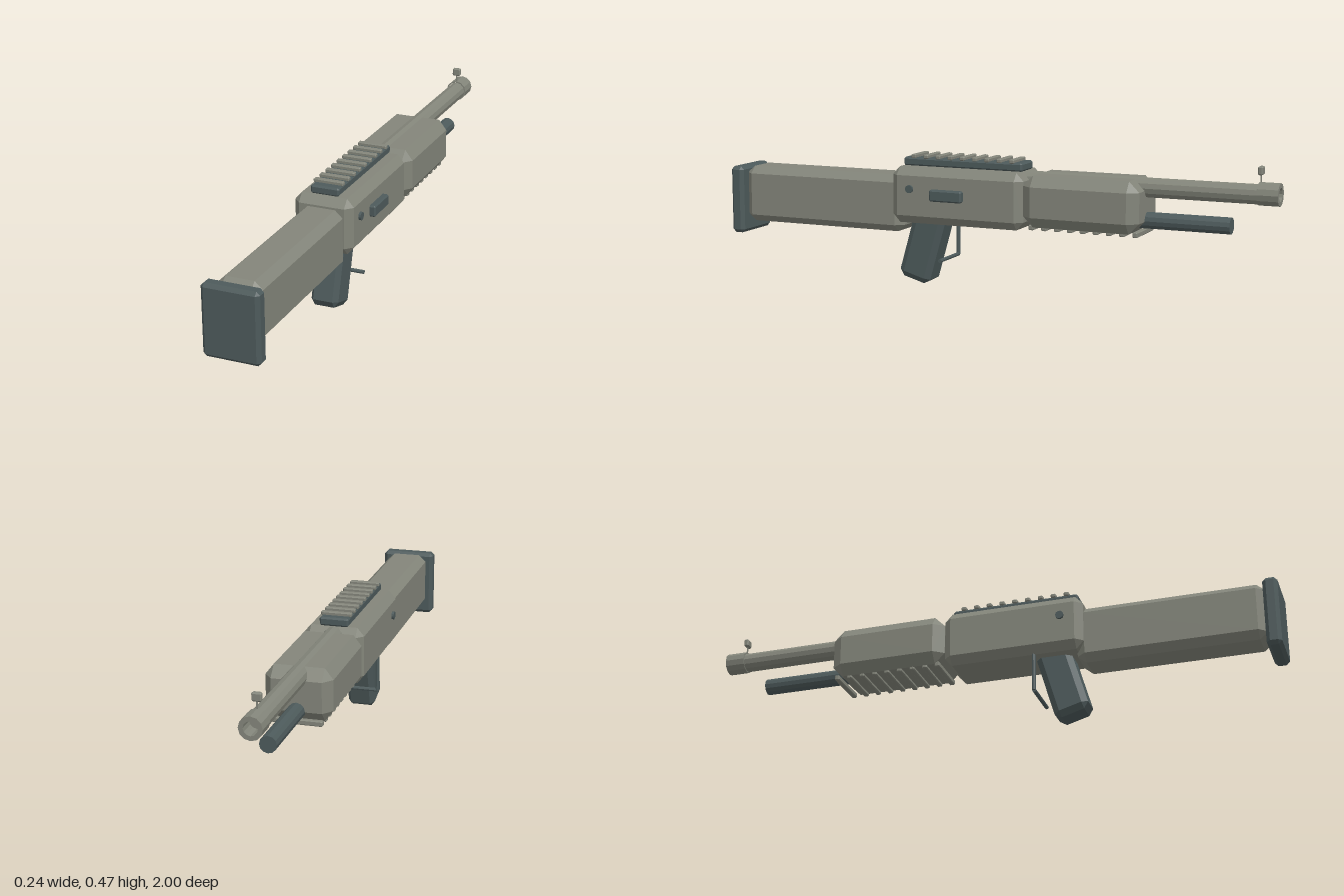
import * as THREE from 'three';
import { ConvexGeometry } from 'three/addons/geometries/ConvexGeometry.js';

const grey = new THREE.MeshStandardMaterial({ color: 0x83857a });
grey.name = 'warm grey metal';
const dark = new THREE.MeshStandardMaterial({ color: 0x4d5a5b });
dark.name = 'dark slate';

// flat-faced copy of a geometry
function faceted(geometry) {
  const g = geometry.index ? geometry.toNonIndexed() : geometry;
  g.computeVertexNormals();
  return g;
}

// box with every edge cut by (cx, cy, cz)
function chamferBox(w, h, d, cx, cy = cx, cz = cx) {
  const [x, y, z] = [w / 2, h / 2, d / 2];
  const points = [];
  for (const sx of [-1, 1]) for (const sy of [-1, 1]) for (const sz of [-1, 1]) {
    points.push(
      new THREE.Vector3(sx * x, sy * (y - cy), sz * (z - cz)),
      new THREE.Vector3(sx * (x - cx), sy * y, sz * (z - cz)),
      new THREE.Vector3(sx * (x - cx), sy * (y - cy), sz * z));
  }
  return new ConvexGeometry(points);
}

export function createModel() {
  const model = new THREE.Group();
  model.name = 'longGun';
  const body = new THREE.Group();
  body.name = 'body';
  body.position.x = -0.0065;
  model.add(body);

  function add(name, geometry, material, x, y, z) {
    const mesh = new THREE.Mesh(geometry, material);
    mesh.name = name;
    mesh.position.set(x, y, z);
    body.add(mesh);
    return mesh;
  }

  // rod between two z positions
  function rod(name, radius, y, z0, z1, material) {
    const g = new THREE.CylinderGeometry(radius, radius, Math.abs(z1 - z0), 12).rotateX(Math.PI / 2);
    return add(name, faceted(g), material, 0, y, (z0 + z1) / 2);
  }

  // shoulder stock and butt pad
  add('buttPad', chamferBox(0.193, 0.242, 0.05, 0.012), dark, 0, 0.264, 0.975);
  add('stock', chamferBox(0.15, 0.2, 0.64, 0.027, 0.025, 0.03), grey, 0, 0.285, 0.635);

  // receiver and sliding forend
  add('receiver', chamferBox(0.207, 0.195, 0.49, 0.024, 0.028, 0.026), grey, 0, 0.3225, 0.1);
  add('forend', chamferBox(0.222, 0.175, 0.41, 0.028, 0.036, 0.036), grey, 0, 0.3275, -0.35);

  // barrel, hollow muzzle and magazine tube
  rod('barrel', 0.033, 0.387, -0.1, -0.935, grey);
  const muzzleProfile = [[0.033, 0], [0.038, 0], [0.038, 0.07], [0.023, 0.07], [0.023, 0.01], [0, 0.01]]
    .map(([r, h]) => new THREE.Vector2(r, h));
  const muzzle = new THREE.LatheGeometry(muzzleProfile, 12).rotateX(-Math.PI / 2);
  add('muzzle', faceted(muzzle), grey, 0, 0.389, -0.93);
  rod('magazineTube', 0.028, 0.278, -0.5, -0.842, dark);

  // front sight on a fine post
  add('frontSight', chamferBox(0.031, 0.028, 0.017, 0.004), grey, 0, 0.464, -0.935);
  add('sightPost', new THREE.BoxGeometry(0.004, 0.04, 0.004), grey, 0, 0.435, -0.935);

  // top rail with cross ribs, and matching ribs beneath the forend
  add('railBase', chamferBox(0.1, 0.03, 0.445, 0.006), dark, 0, 0.434, 0.097);
  const topRib = chamferBox(0.105, 0.014, 0.018, 0.003);
  const gripRib = chamferBox(0.167, 0.018, 0.018, 0.003);
  for (let i = 0; i < 9; i++) {
    add('railRib', topRib, grey, 0, 0.453, -0.088 + i * 0.046);
    add('forendRib', gripRib, grey, 0, 0.239, -0.173 - i * 0.046);
  }

  // raked pistol grip
  const grip = add('grip', chamferBox(0.097, 0.25, 0.12, 0.014, 0.02, 0.02), dark, 0, 0.136, 0.256);
  grip.rotation.x = -0.28;

  // guard: upright and crossbar
  add('guardUpright', faceted(new THREE.CylinderGeometry(0.007, 0.007, 0.135, 8)), dark, -0.076, 0.165, 0.17);
  const bar = new THREE.CylinderGeometry(0.007, 0.007, 0.152, 8).rotateZ(Math.PI / 2);
  add('guardCrossbar', faceted(bar), dark, 0, 0.097, 0.17);

  // ejection port and through pin
  add('ejectionPort', chamferBox(0.04, 0.04, 0.12, 0.005), dark, 0.1035, 0.33, 0.128);
  const pin = new THREE.CylinderGeometry(0.014, 0.014, 0.224, 10).rotateZ(Math.PI / 2);
  add('receiverPin', faceted(pin), dark, 0, 0.346, 0.27);

  return model;
}
